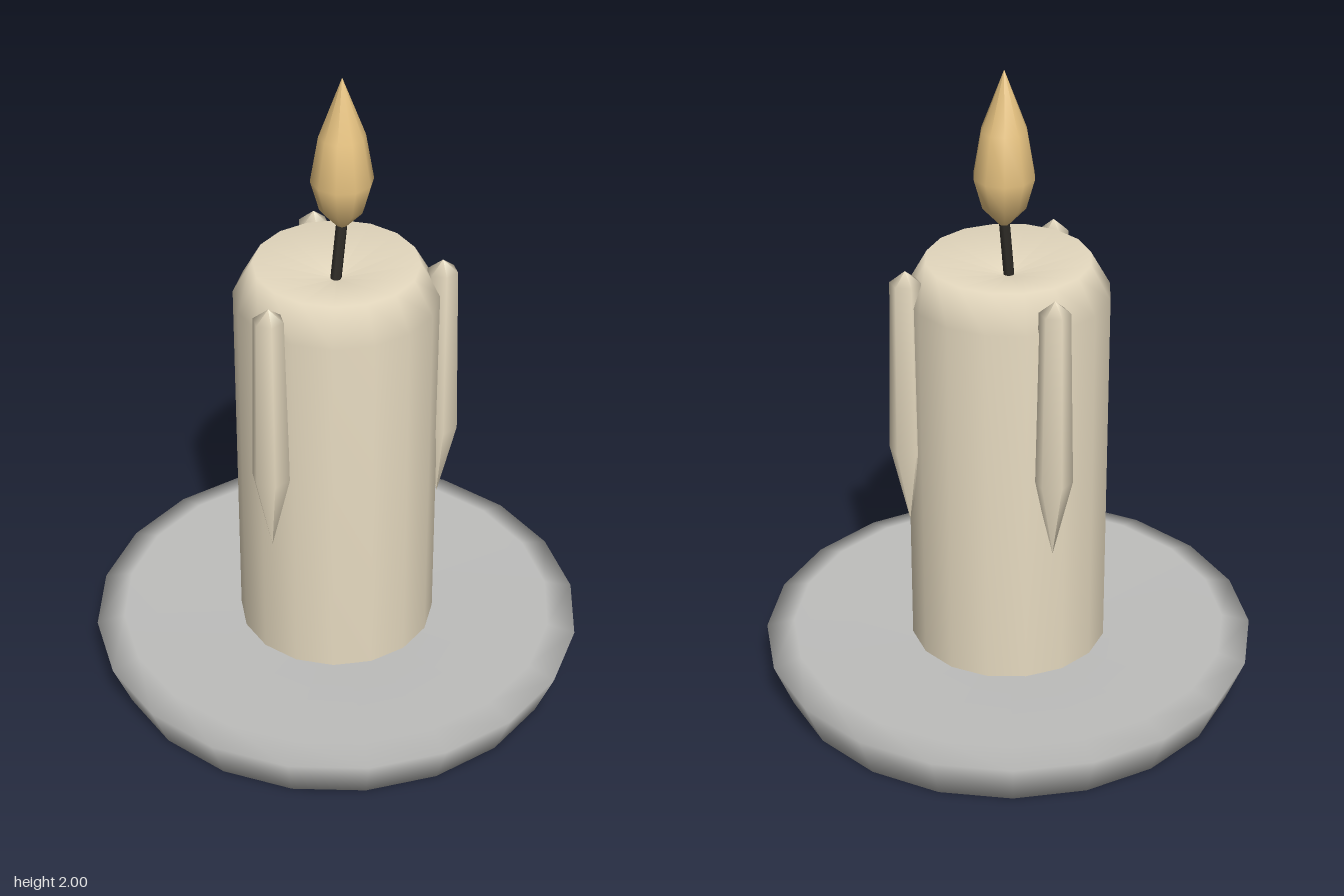
import * as THREE from 'three';

const material = (name, color) => {
  const m = new THREE.MeshStandardMaterial({ color });
  m.name = name;
  return m;
};

// Turned part from [radius, height] pairs, listed bottom to top, first corner on +x
function turned(name, profile, sides, mat, x = 0, z = 0) {
  const points = profile.map(([r, y]) => new THREE.Vector2(r, y));
  const mesh = new THREE.Mesh(new THREE.LatheGeometry(points, sides, Math.PI / 2), mat);
  mesh.name = name;
  mesh.position.set(x, 0, z);
  return mesh;
}

export function createModel() {
  const wax = material('cream wax', 0xe6dac0);
  const metal = material('grey metal', 0xbebebc);
  const fire = material('amber flame', 0xe6c280);
  const char = material('charred wick', 0x302d28);

  const group = new THREE.Group();
  group.name = 'candle';

  // Shallow dish with a flared rim
  group.add(turned('dish', [[0, 0], [0.705, 0], [0.762, 0.143], [0.675, 0.165], [0, 0.135]], 20, metal));

  // Wax body with a bevelled shoulder and a hollow melted top
  group.add(turned('waxBody', [[0.304, 0.13], [0.304, 1.31], [0.245, 1.415], [0, 1.36]], 16, wax));

  // Wax drips running down the side
  const drip = [[0, 0.58], [0.058, 0.83], [0.046, 1.375], [0, 1.412]];
  [[-0.312, 0.052], [0.158, -0.27], [0.24, 0.196]].forEach(([x, z], i) => {
    group.add(turned('waxDrip' + (i + 1), drip, 6, wax, x, z));
  });

  // Wick leaning slightly towards +x
  const wick = new THREE.Mesh(new THREE.CylinderGeometry(0.017, 0.017, 0.2, 6), char);
  wick.name = 'wick';
  wick.position.set(0.009, 1.45, 0);
  wick.rotation.z = -0.13;
  group.add(wick);

  // Teardrop flame
  group.add(turned('flame', [[0, 1.515], [0.066, 1.587], [0.092, 1.68], [0.068, 1.82], [0, 2]], 10, fire, 0.021));

  return group;
}
